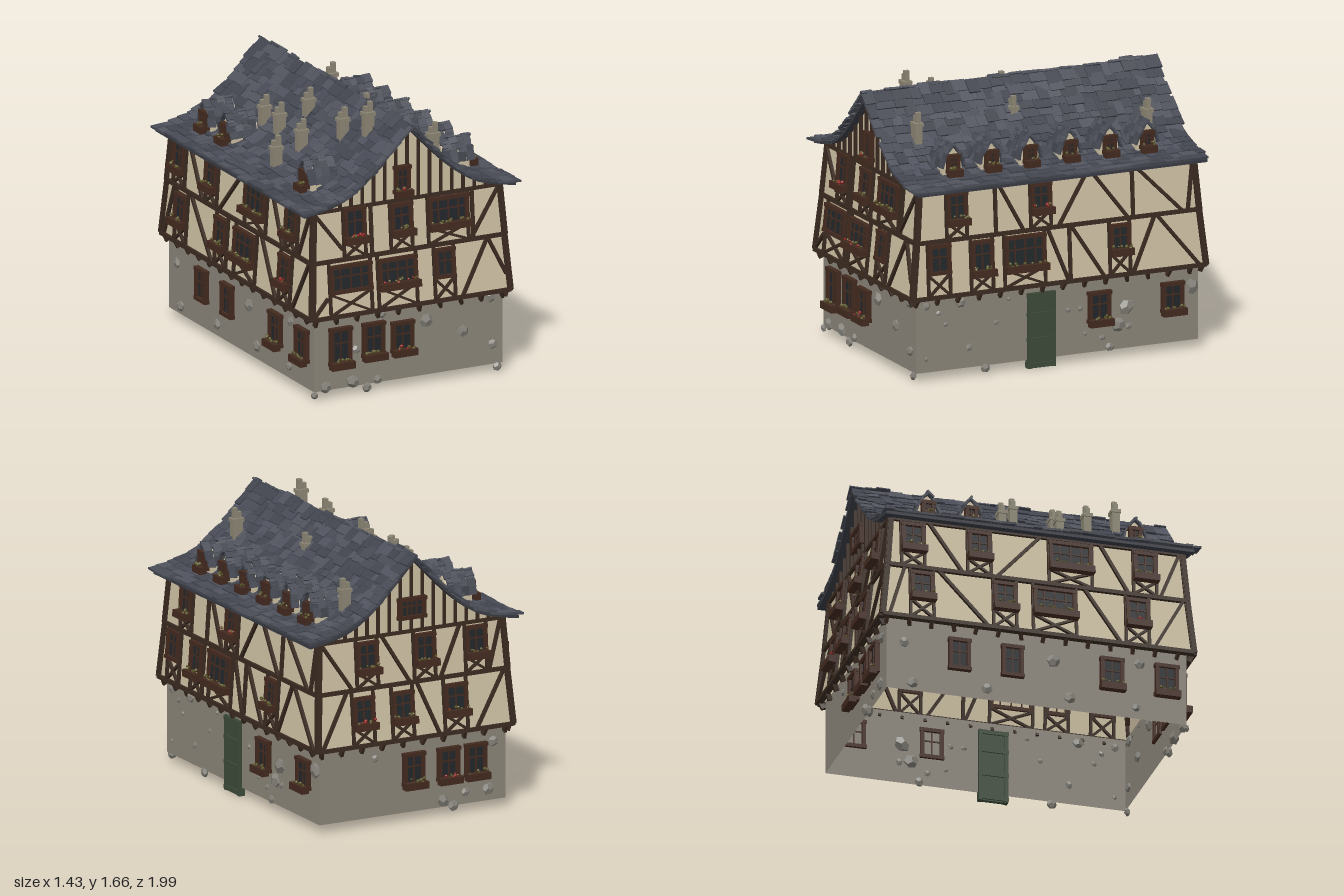
import * as THREE from 'three';
import { mergeGeometries } from 'three/addons/utils/BufferGeometryUtils.js';

const mat = (color, extra = {}) => new THREE.MeshStandardMaterial({ color, flatShading: true, ...extra });
const M = {
  plaster: mat(0xcfc2a4, { side: THREE.DoubleSide }), stone: mat(0x8c867a, { side: THREE.DoubleSide }),
  rock: mat(0x85827a), timber: mat(0x3a2a20), frame: mat(0x432a1f), glass: mat(0x22272b),
  door: mat(0x3d4b39), chimney: mat(0x8d8775), leaf: mat(0x5a5428), flower: mat(0x952420),
  under: mat(0x3a3c44, { side: THREE.DoubleSide }),
  slate: [mat(0x484b55), mat(0x42454e), mat(0x50535d)],
};
let seed = 7;
const rnd = (a = 0, b = 1) => {
  seed = (seed * 16807) % 2147483647;
  return a + (b - a) * seed / 2147483647;
};

function add(parent, name, geo, material, x = 0, y = 0, z = 0) {
  const m = new THREE.Mesh(geo, material);
  m.name = name;
  m.position.set(x, y, z);
  parent.add(m);
  return m;
}
const box = (p, name, material, w, h, d, x, y, z) => add(p, name, new THREE.BoxGeometry(w, h, d), material, x, y, z);
function group(parent, name) {
  const g = new THREE.Group();
  g.name = name;
  parent.add(g);
  return g;
}
// timber between two points of a wall; it shows on both faces of the wall
function beam(p, u0, v0, u1, v1, w = 0.02, name = 'beam') {
  const m = box(p, name, M.timber, Math.hypot(u1 - u0, v1 - v0), w, 0.036, (u0 + u1) / 2, (v0 + v1) / 2, 0);
  m.rotation.z = Math.atan2(v1 - v0, u1 - u0);
}

// framed window with glazing bars and an optional flower box
function windowUnit(parent, u, v, w, h, cols = 2, planter = 1, red = false) {
  const g = group(parent, 'window'), t = 0.022;
  g.position.set(u, v, 0.008);
  box(g, 'glass', M.glass, w - t, h - t, 0.012, 0, 0, 0);
  for (const s of [-1, 1]) {
    box(g, 'windowJamb', M.frame, t, h, 0.045, s * (w - t) / 2, 0, 0);
    box(g, 'windowRail', M.frame, w + 0.008, t, 0.05, 0, s * (h - t) / 2, 0);
  }
  for (let i = 1; i < cols; i++) box(g, 'glazingBar', M.frame, 0.008, h - t, 0.026, -w / 2 + i * w / cols, 0, 0);
  box(g, 'glazingBar', M.frame, w - t, 0.008, 0.026, 0, h * 0.08, 0);
  if (!planter) return;
  const b = -h / 2 + 0.005;
  box(g, 'flowerBox', M.frame, w + 0.012, 0.042, 0.045, 0, b, 0.034);
  for (let i = 0; i < w / 0.022; i++) {
    const m = add(g, 'plant', new THREE.IcosahedronGeometry(rnd(0.006, 0.012), 0), red && rnd() < 0.6 ? M.flower : M.leaf,
      rnd(-0.45, 0.45) * w, b + rnd(0.022, 0.04), 0.035 + rnd(-0.012, 0.014));
    m.rotation.set(rnd(0, 3), rnd(0, 3), 0);
  }
}

// wall frame: local x runs along the wall, y up its slope, z outward
function wallGroup(parent, name, angle, y, d0, d1, h) {
  const turn = group(parent, name), g = group(turn, name + 'Face');
  turn.rotation.y = angle;
  g.position.set(0, y, d0);
  g.rotation.x = -Math.atan((d0 - d1) / h);
  return g;
}
const polygon = pts => new THREE.ShapeGeometry(new THREE.Shape(pts.map(p => new THREE.Vector2(...p))));

// storeys: base y, height, half sizes in x and z at the bottom and top
const STOREYS = {
  ground: { y: 0.05, h: 0.45, b: [0.615, 0.905], t: [0.615, 0.905] },
  middle: { y: 0.5, h: 0.33, b: [0.645, 0.94], t: [0.622, 0.905] },
  upper: { y: 0.83, h: 0.3, b: [0.625, 0.905], t: [0.605, 0.88] },
};
const FACES = { front: 0, left: Math.PI / 2, back: Math.PI, right: -Math.PI / 2 };
// windows: along, world y of centre, width, height, columns, planter, red flowers
const WINDOWS = {
  ground: {
    front: [[-0.45, 0.31, 0.14, 0.23], [-0.235, 0.32, 0.14, 0.21], [-0.045, 0.31, 0.14, 0.19, 2, 1, true]],
    left: [[0.265, 0.32, 0.14, 0.19], [0.735, 0.325, 0.14, 0.18]],
    back: [[0, 0.31, 0.14, 0.2], [0.23, 0.31, 0.14, 0.2, 2, 1, true], [0.41, 0.31, 0.14, 0.2]],
    right: [[-0.47, 0.31, 0.13, 0.2, 2, 0], [-0.15, 0.31, 0.13, 0.2, 2, 0], [0.45, 0.31, 0.14, 0.2], [0.78, 0.31, 0.14, 0.2]],
  },
  middle: {
    front: [[-0.39, 0.72, 0.27, 0.17, 4, 0], [-0.085, 0.715, 0.25, 0.17, 4, 1, true], [0.222, 0.72, 0.13, 0.18, 2, 0]],
    left: [[-0.77, 0.725, 0.14, 0.18, 2, 0], [-0.495, 0.71, 0.14, 0.2], [-0.22, 0.71, 0.26, 0.2, 4], [0.39, 0.72, 0.13, 0.17]],
    back: [[-0.34, 0.7, 0.14, 0.18, 2, 1, true], [-0.08, 0.7, 0.14, 0.18], [0.27, 0.7, 0.15, 0.18, 2, 1, true]],
    right: [[-0.7, 0.71, 0.14, 0.18], [-0.2, 0.71, 0.14, 0.18], [0.1, 0.71, 0.26, 0.18, 4], [0.6, 0.71, 0.14, 0.18, 2, 1, true]],
  },
  upper: {
    front: [[-0.35, 1.035, 0.14, 0.2, 2, 1, true], [-0.045, 1.025, 0.14, 0.18], [0.26, 1.025, 0.26, 0.18, 4]],
    left: [[-0.65, 1.02, 0.13, 0.18], [-0.11, 1.02, 0.13, 0.17, 2, 1, true]],
    back: [[-0.3, 1.02, 0.14, 0.18], [0.08, 1.02, 0.14, 0.18], [0.42, 1.02, 0.14, 0.18]],
    right: [[-0.75, 1.02, 0.14, 0.18], [-0.35, 1.02, 0.14, 0.18], [0.2, 1.02, 0.26, 0.18, 4], [0.65, 1.02, 0.14, 0.18]],
  },
};
// braces: start along, foot (0) or head (1), end along, foot or head
const BRACES = {
  middle: {
    front: [[0.33, 0, 0.51, 1], [0.51, 1, 0.62, 0.3], [-0.63, 0.05, -0.54, 0.35]],
    left: [[-0.07, 1, 0.06, 0], [0.07, 0, 0.07, 1], [0.08, 1, 0.29, 0], [0.47, 0, 0.62, 1], [0.63, 1, 0.9, 0]],
    back: [[-0.62, 0, -0.44, 1], [0.02, 1, 0.16, 0], [0.4, 0, 0.6, 1]],
    right: [[-0.9, 0, -0.8, 1], [-0.6, 1, -0.3, 0], [0.28, 1, 0.5, 0], [0.7, 0, 0.88, 1]],
  },
  upper: {
    front: [[-0.6, 0.95, -0.43, 0.2], [0.4, 0, 0.59, 0.95], [0.42, 0, 0.42, 1], [-0.24, 0, -0.24, 1]],
    left: [[-0.4, 0, -0.4, 1], [-0.38, 1, -0.22, 0], [0, 0, 0.19, 1], [0.22, 1, 0.45, 0], [0.48, 0, 0.48, 1], [0.5, 1, 0.8, 0], [0.83, 0, 0.87, 1]],
    back: [[-0.6, 1, -0.4, 0], [-0.2, 1, -0.02, 0], [0.18, 0, 0.32, 1], [0.5, 0, 0.59, 1]],
    right: [[-0.65, 1, -0.45, 0], [-0.25, 0, 0.02, 1], [0.38, 1, 0.55, 0], [0.74, 0, 0.86, 1]],
  },
};
// rocks: along, world y, radius
const ROCKS = {
  front: [[0.115, 0.38, 0.045], [0.355, 0.28, 0.037], [0.545, 0.17, 0.038], [0.53, 0.46, 0.035], [-0.54, 0.07, 0.038], [-0.365, 0.08, 0.048],
    [-0.27, 0.03, 0.03], [-0.2, 0.07, 0.03], [-0.34, 0.27, 0.03], [-0.17, 0.46, 0.025], [0.58, 0.03, 0.03], [-0.612, 0.03, 0.025]],
  left: [[0.445, 0.295, 0.055], [0.86, 0.37, 0.05], [0.39, 0.195, 0.048], [0.46, 0.18, 0.025], [-0.62, 0.445, 0.037], [-0.565, 0.17, 0.027],
    [-0.76, 0.395, 0.02], [-0.715, 0.325, 0.016], [-0.39, 0.3, 0.017], [-0.84, 0.13, 0.015], [-0.46, 0.035, 0.03], [0.34, 0.07, 0.03],
    [-0.84, 0.445, 0.028], [0.18, 0.165, 0.016], [0.07, 0.32, 0.018], [-0.31, 0.43, 0.015], [0.15, 0.32, 0.018], [0.29, 0.13, 0.02]],
  back: [[0.2, 0.09, 0.045], [0.27, 0.05, 0.035], [0.5, 0.12, 0.04], [-0.25, 0.4, 0.025], [0.53, 0.4, 0.04], [0.35, 0.12, 0.03]],
  right: [[-0.75, 0.1, 0.04], [-0.8, 0.35, 0.035], [-0.3, 0.12, 0.035], [0.1, 0.35, 0.045], [0.2, 0.13, 0.04], [0.6, 0.12, 0.03], [0.62, 0.4, 0.035]],
};

function buildWall(root, storey, face) {
  const S = STOREYS[storey], side = face === 'left' || face === 'right';
  const depth = side ? 0 : 1, along = 1 - depth, h = S.h;
  const g = wallGroup(root, storey + face[0].toUpperCase() + face.slice(1) + 'Wall', FACES[face], S.y, S.b[depth], S.t[depth], h);
  const wb = S.b[along], wt = S.t[along], stone = storey === 'ground';
  add(g, 'wallPanel', polygon([[-wb, 0], [wb, 0], [wt, h], [-wt, h]]), stone ? M.stone : M.plaster);
  for (const [u, y, w, wh, cols, planter, red] of WINDOWS[storey][face]) {
    const v = y - S.y, foot = v - wh / 2;
    windowUnit(g, u, v, w, wh, cols, planter, red);
    if (stone) continue;
    // panel with a crossed brace below the window
    for (const s of [-1, 1]) {
      beam(g, u + s * w / 2, 0, u + s * w / 2, h, 0.016, 'post');
      beam(g, u - s * w / 2, 0.005, u + s * w / 2, foot, 0.014, 'crossBrace');
    }
  }
  if (stone) {
    for (const [u, y, r] of ROCKS[face]) {
      const m = add(g, 'wallRock', new THREE.DodecahedronGeometry(r, 0), M.rock, u, y - S.y, 0);
      m.scale.set(1, rnd(0.75, 1.05), 0.6);
      m.rotation.z = rnd(0, 3);
    }
    return g;
  }
  beam(g, -wb, 0, wb, 0, 0.024, 'sillBeam');
  beam(g, -wt, h, wt, h, 0.02, 'headBeam');
  for (const s of [-1, 1]) beam(g, s * wb, 0, s * wt, h, 0.026, 'cornerPost');
  for (const [u0, v0, u1, v1] of BRACES[storey][face]) beam(g, u0, v0 * h, u1, v1 * h, 0.019, 'brace');
  // joist ends under the overhang
  if (storey === 'middle') for (let u = -wb + 0.03; u < wb; u += 0.135) {
    const j = box(g, 'joistEnd', M.timber, 0.018, 0.055, 0.03, u, -0.02, -0.015);
    j.rotation.set(0.5, 0, rnd(-0.3, 0.3));
  }
  return g;
}

// right half of the roof line, from ridge to eave
const ROOF = new THREE.SplineCurve([[0, 1.575], [0.12, 1.45], [0.255, 1.32], [0.39, 1.222], [0.52, 1.172], [0.69, 1.14]].map(p => new THREE.Vector2(...p)));
const ROOFLINE = ROOF.getSpacedPoints(24);
function roofY(x) {
  const i = Math.max(1, ROOFLINE.findIndex(p => p.x >= Math.abs(x))), a = ROOFLINE[i - 1], b = ROOFLINE[i];
  return a.y + (b.y - a.y) * (Math.abs(x) - a.x) / (b.x - a.x);
}

function buildRoof(root) {
  const g = group(root, 'roof'), sets = [[], [], []];
  // curved sheet under the slates
  const full = [...ROOFLINE.slice(1).reverse().map(p => [-p.x, p.y]), ...ROOFLINE.map(p => [p.x, p.y])];
  const shape = new THREE.Shape([...full, ...full.map(([x, y]) => [x, y - 0.018]).reverse()].map(p => new THREE.Vector2(...p)));
  add(g, 'roofSheet', new THREE.ExtrudeGeometry(shape, { depth: 1.86, bevelEnabled: false }), M.under, 0, 0, -0.93);
  // rows of uneven slates
  const rows = 15;
  for (const s of [-1, 1]) for (let i = 0; i < rows; i++) {
    const t = (i + 0.45) / rows, p = ROOF.getPointAt(t), d = ROOF.getTangentAt(t), a = Math.atan2(d.y, d.x);
    for (let z = -0.955 + rnd(0, 0.025); z < 0.93;) {
      const w = Math.min(rnd(0.045, 0.12), 0.965 - z), off = rnd(-0.012, 0.012), lift = rnd(0.006, 0.014);
      const geo = new THREE.BoxGeometry(rnd(0.075, 0.1), 0.013, w - 0.003);
      geo.rotateX(rnd(-0.05, 0.05)).rotateZ(s * (a + 0.1 + rnd(-0.05, 0.05)));
      geo.translate(s * (p.x + d.x * off - d.y * lift), p.y + d.y * off + d.x * lift, z + w / 2);
      sets[Math.floor(rnd(0, 2.999))].push(geo);
      z += w;
    }
  }
  sets.forEach((list, i) => add(g, 'slates', mergeGeometries(list), M.slate[i]));
}

function buildGable(root, face) {
  const g = wallGroup(root, face + 'Gable', FACES[face], 0, 0.88, 0.88, 1);
  const top = [];
  for (let i = -20; i <= 20; i++) top.push([-i * 0.03, roofY(i * 0.03) - 0.008]);
  add(g, 'gablePanel', polygon([[-0.6, 1.12], [0.6, 1.12], ...top]), M.plaster);
  for (let i = -7; i <= 7; i++) beam(g, i * 0.073, 1.13, i * 0.073, roofY(i * 0.073) - 0.015, 0.015, 'gableStud');
  if (face === 'front') windowUnit(g, -0.035, 1.255, 0.1, 0.17, 2, 1, true);
  else windowUnit(g, 0, 1.27, 0.18, 0.13, 3, 0);
}

// pointed dormer with slates laid over its arch
function buildDormer(root, s, z) {
  const g = group(root, 'dormer');
  g.position.set(s * 0.515, 1.185, z);
  g.rotation.y = s * Math.PI / 2;
  const arch = new THREE.Shape();
  arch.moveTo(-0.06, -0.02);
  arch.lineTo(0.06, -0.02);
  arch.lineTo(0.06, 0.06);
  arch.quadraticCurveTo(0.045, 0.13, 0, 0.165);
  arch.quadraticCurveTo(-0.045, 0.13, -0.06, 0.06);
  add(g, 'dormerBody', new THREE.ExtrudeGeometry(arch, { depth: 0.17, bevelEnabled: false, curveSegments: 5 }), M.plaster, 0, 0, -0.17);
  windowUnit(g, 0, 0.07, 0.08, 0.11, 2, 1);
  const curve = new THREE.QuadraticBezierCurve(new THREE.Vector2(0.07, 0.045), new THREE.Vector2(0.05, 0.13), new THREE.Vector2(0, 0.175));
  for (const k of [-1, 1]) for (let i = 0; i < 4; i++) for (let j = 0; j < 4; j++) {
    const p = curve.getPoint((i + 0.5) / 4), d = curve.getTangent((i + 0.5) / 4);
    const m = box(g, 'dormerSlate', M.slate[(i + j) % 3], 0.055, 0.012, 0.05, k * p.x, p.y + rnd(0, 0.008), -0.002 - j * 0.046 + rnd(-0.01, 0.01));
    m.rotation.set(rnd(-0.12, 0.12), 0, k * (Math.atan2(d.y, d.x) + rnd(-0.15, 0.15)));
  }
}

// chimney stack with a collar and two pots
function buildChimney(root, x, z, top) {
  const g = group(root, 'chimney'), base = roofY(x) - 0.06, h = top - 0.06 - base;
  g.position.set(x, base, z);
  box(g, 'chimneyStack', M.chimney, 0.06, h, 0.045, 0, h / 2, 0);
  box(g, 'chimneyCollar', M.chimney, 0.074, 0.022, 0.056, 0, h - 0.012, 0);
  box(g, 'chimneyPot', M.chimney, 0.026, 0.06, 0.028, 0.013, h + 0.03, 0);
  box(g, 'chimneyPot', M.chimney, 0.022, 0.035, 0.026, -0.016, h + 0.017, 0);
}

export function createModel() {
  const root = new THREE.Group();
  root.name = 'timberFramedHouse';
  const walls = {};
  for (const storey in STOREYS) for (const face in FACES) walls[storey + face] = buildWall(root, storey, face);

  // green plank door on the left side
  const door = group(walls.groundleft, 'door');
  door.position.set(-0.105, -0.05, 0);
  box(door, 'doorLeaf', M.door, 0.17, 0.45, 0.025, 0, 0.225, 0);
  for (const y of [0.02, 0.17, 0.32, 0.435]) box(door, 'doorRail', M.door, 0.18, 0.025, 0.042, 0, y, 0);
  for (const s of [-1, 1]) box(door, 'doorStile', M.door, 0.022, 0.45, 0.038, s * 0.078, 0.225, 0);

  buildGable(root, 'front');
  buildGable(root, 'back');
  buildRoof(root);
  for (const z of [0.625, 0.38, 0.13, -0.125, -0.38, -0.62]) buildDormer(root, 1, z);
  for (const z of [0.62, -0.37, -0.63]) buildDormer(root, -1, z);
  for (const [x, z, top] of [[0.34, -0.71, 1.45], [0.155, 0.065, 1.51], [0.255, 0.725, 1.51], [-0.18, 0.43, 1.58], [-0.115, 0.62, 1.66],
    [-0.48, 0.175, 1.38], [-0.32, 0.185, 1.46], [-0.17, -0.015, 1.57], [-0.305, -0.12, 1.47], [-0.3, -0.315, 1.46]]) buildChimney(root, x, z, top);
  return root;
}
